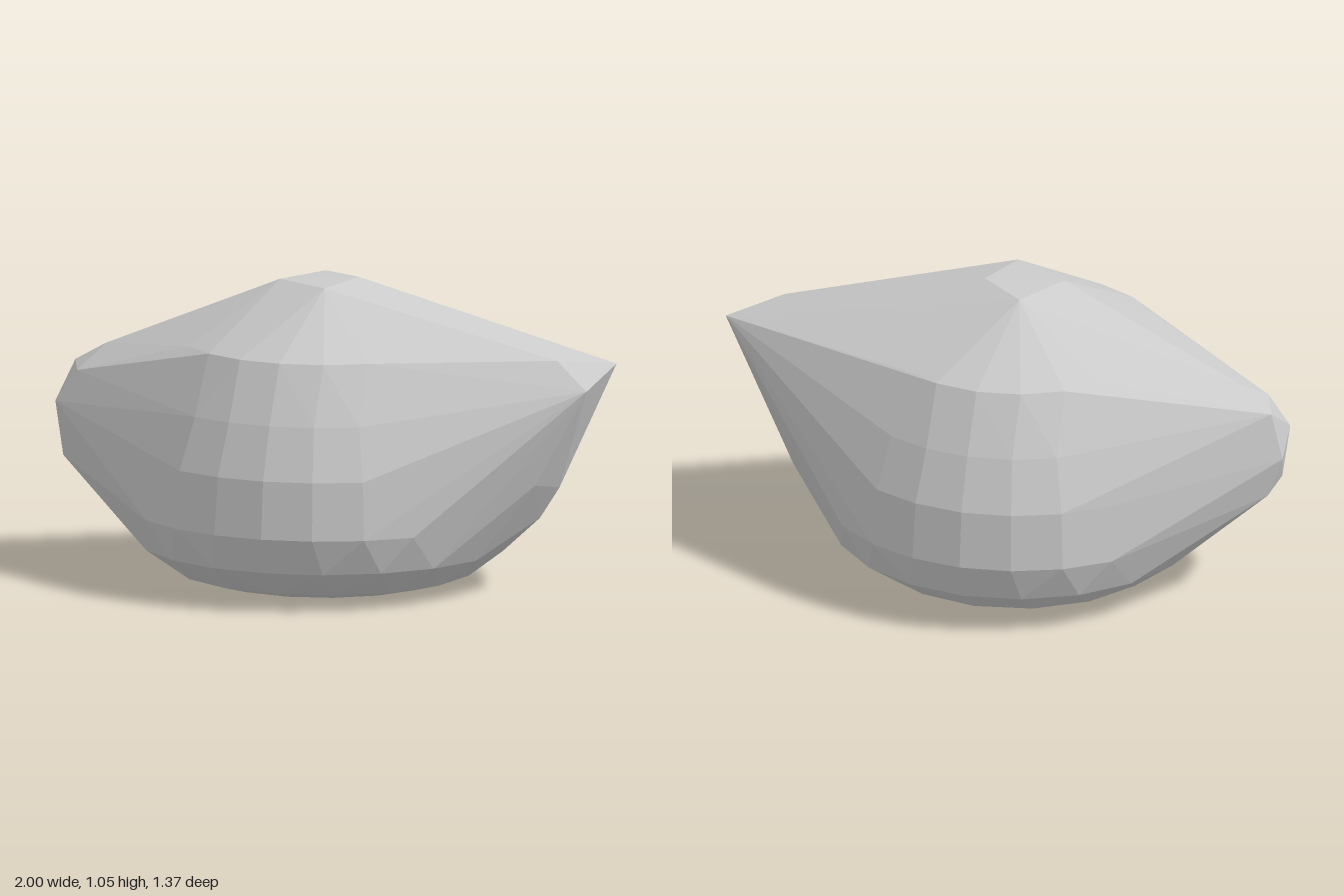
import * as THREE from 'three';
import { ConvexGeometry } from 'three/addons/geometries/ConvexGeometry.js';

const CENTRE_X = -0.03;

// Horizontal ring of points around the body's axis
function ring(y, radius, sides) {
  return Array.from({ length: sides }, (_, i) => {
    const a = (i / sides) * Math.PI * 2;
    return new THREE.Vector3(CENTRE_X + radius * Math.sin(a), y, radius * Math.cos(a));
  });
}

const toPoints = (list) => list.map((p) => new THREE.Vector3(...p));

export function createModel() {
  const group = new THREE.Group();

  // Round body: height, radius, sides, from the base up
  const body = [
    [0.01, 0.41, 16], [0.04, 0.52, 16], [0.135, 0.645, 20],
    [0.26, 0.685, 24], [0.46, 0.665, 24], [0.64, 0.595, 24], [0.84, 0.49, 20],
  ].flatMap(([y, r, n]) => ring(y, r, n));

  // Small flat crown and the slightly bulging underside
  const caps = toPoints([
    [CENTRE_X, 0, 0],
    [0.08, 1.053, -0.04], [-0.18, 1.045, 0.04],
    [0.02, 1.045, 0.155], [-0.08, 1.045, -0.155],
  ]);

  // Pointed end, raised on the left side
  const pointedEnd = toPoints([
    [1, 0.8, -0.08], [0.84, 0.83, 0.085], [0.95, 0.73, 0.095],
    [0.82, 0.37, 0], [0.78, 0.4, 0.14], [0.74, 0.3, -0.135], [0.75, 0.26, 0],
  ]);

  // Blunt end on the right side
  const bluntEnd = toPoints([
    [-1, 0.53, -0.07], [-0.975, 0.58, 0.1], [-0.96, 0.695, -0.07],
    [-0.9, 0.69, 0.09], [-0.83, 0.77, -0.02],
    [-0.95, 0.39, -0.08], [-0.95, 0.39, 0.09],
  ]);

  // One faceted convex skin around all the sections
  const shell = new THREE.Mesh(
    new ConvexGeometry([...body, ...caps, ...pointedEnd, ...bluntEnd]),
    new THREE.MeshStandardMaterial({ color: 0xcccccc, flatShading: true })
  );
  shell.name = 'facetedShell';
  group.add(shell);
  return group;
}
